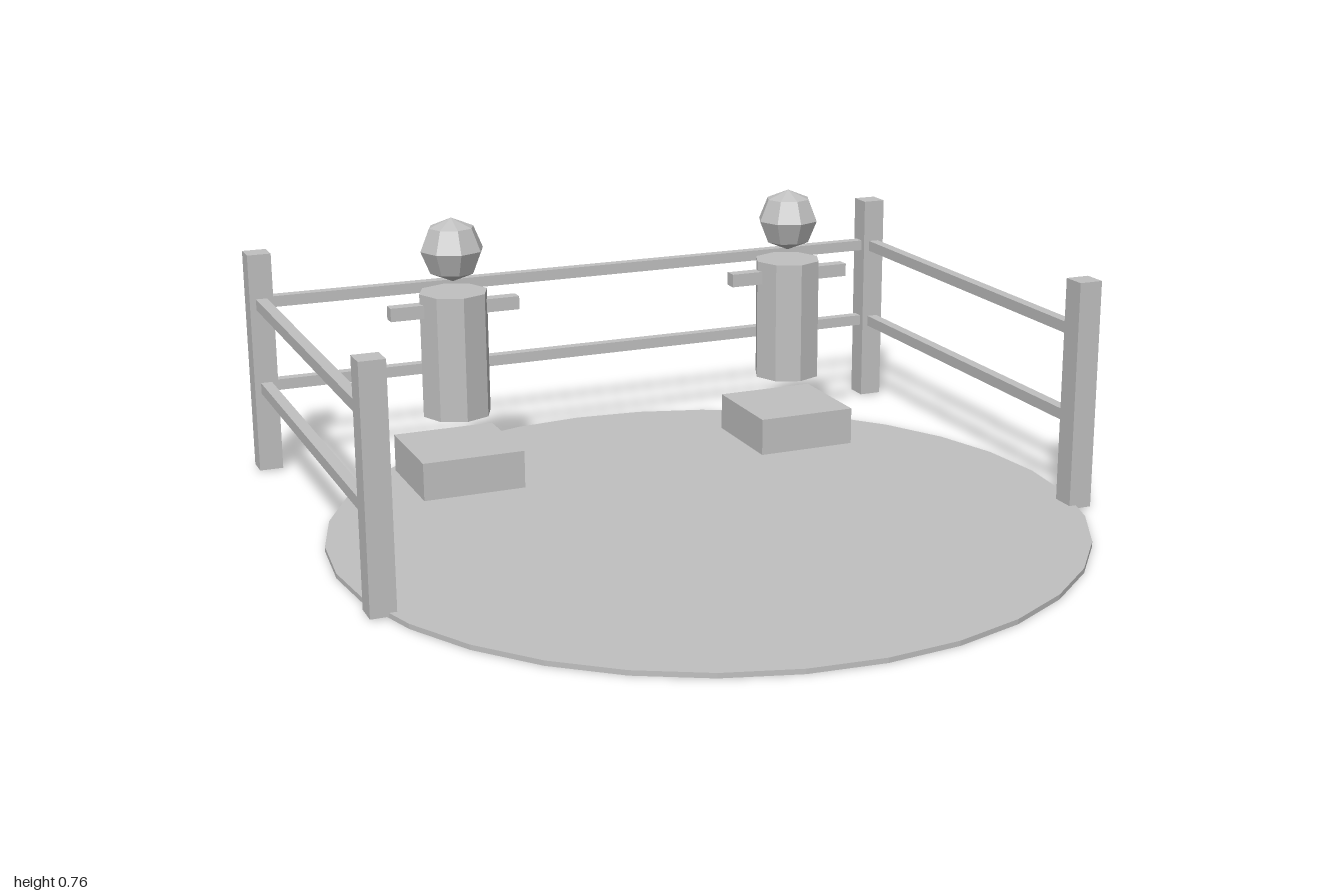
import * as THREE from 'three';

export function createModel() {
  const model = new THREE.Group();
  model.name = 'fencedArena';
  const grey = new THREE.MeshStandardMaterial({ color: 0xc0c0c0, flatShading: true });
  grey.name = 'plain grey';

  const add = (parent, name, geometry, x, y, z) => {
    const mesh = new THREE.Mesh(geometry, grey);
    mesh.name = name;
    mesh.position.set(x, y, z);
    parent.add(mesh);
    return mesh;
  };

  // Thin round floor
  add(model, 'floor', new THREE.CylinderGeometry(1, 1, 0.013, 32), 0, 0.0065, 0);

  // Fence on three sides, open at the front
  const fence = new THREE.Group();
  fence.name = 'fence';
  model.add(fence);
  const postX = 0.962, backZ = -0.938, frontZ = 0.267, post = 0.066;
  for (const x of [-postX, postX]) {
    for (const z of [backZ, frontZ]) {
      add(fence, 'post', new THREE.BoxGeometry(post, 0.625, post), x, 0.316, z);
    }
  }
  const rail = 0.031;
  for (const y of [0.245, 0.487]) {
    add(fence, 'backRail', new THREE.BoxGeometry(postX * 2, rail, rail), 0, y, backZ);
    for (const x of [-postX, postX]) {
      add(fence, 'sideRail', new THREE.BoxGeometry(rail, rail, frontZ - backZ), x, y, (frontZ + backZ) / 2);
    }
  }

  // Two figures hovering over square pedestals
  for (const [name, x] of [['rightFigure', -0.505], ['leftFigure', 0.505]]) {
    const figure = new THREE.Group();
    figure.name = name;
    figure.position.set(x, 0, -0.58);
    model.add(figure);
    add(figure, 'pedestal', new THREE.BoxGeometry(0.288, 0.108, 0.288), 0, 0.065, 0);
    add(figure, 'body', new THREE.CylinderGeometry(0.096, 0.096, 0.346, 8), 0, 0.379, 0);
    add(figure, 'arms', new THREE.BoxGeometry(0.364, 0.037, 0.037), 0, 0.506, 0);
    add(figure, 'head', new THREE.SphereGeometry(0.088, 8, 4), 0, 0.668, 0);
  }

  return model;
}
